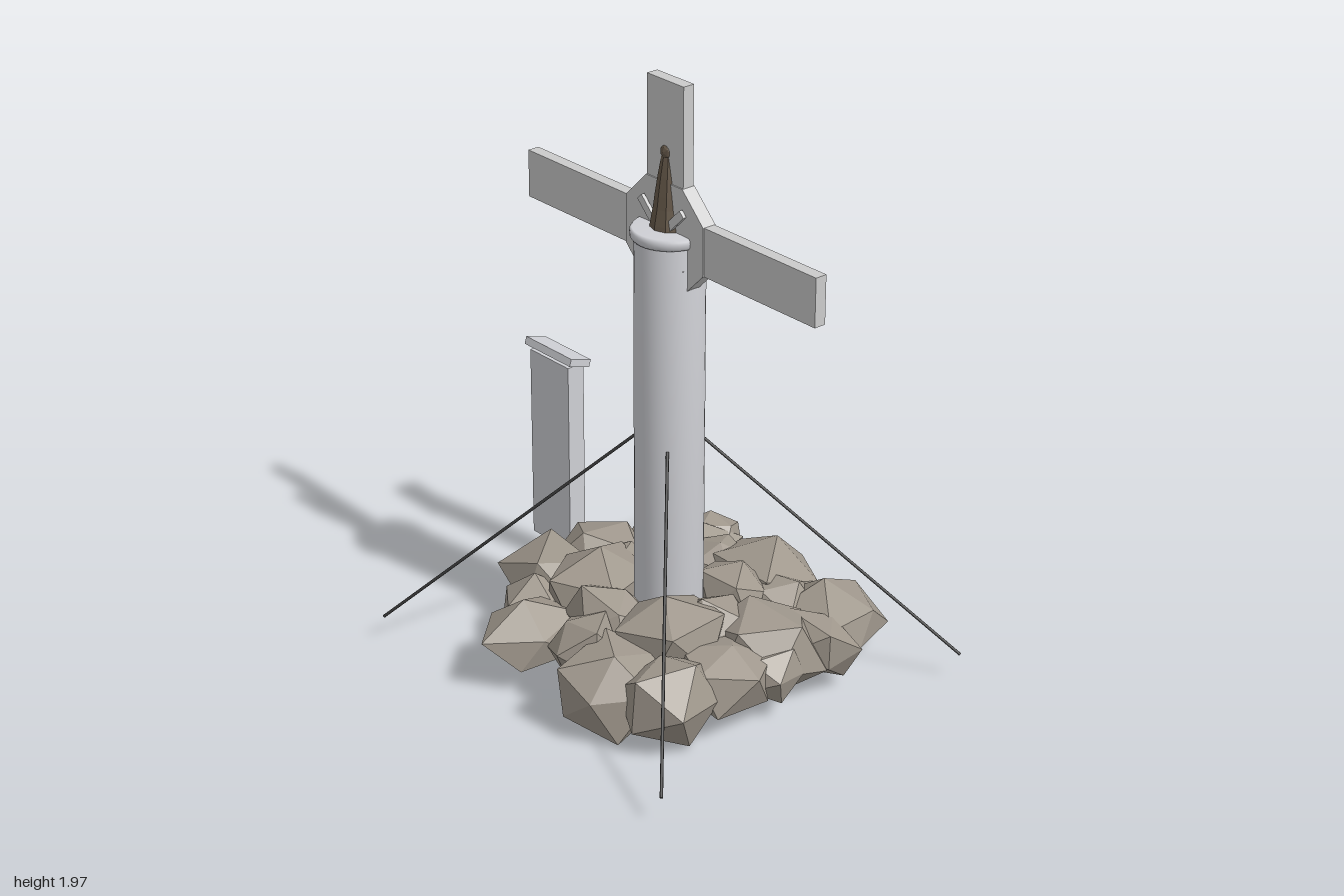
import * as THREE from 'three';

const mat = (color, flatShading = false) => new THREE.MeshStandardMaterial({ color, flatShading });
const pale = mat(0xcfd0d5), grey = mat(0xbdbdbd), dark = mat(0x383838);
const stone = mat(0xa0988d, true), bronze = mat(0x66594a, true), paving = mat(0x9a9c9e);
const CX = 0.088; // tower axis

function add(parent, name, geometry, material, x = 0, y = 0, z = 0) {
  const mesh = new THREE.Mesh(geometry, material);
  mesh.name = name;
  mesh.position.set(x, y, z);
  parent.add(mesh);
  return mesh;
}

function box(parent, name, material, [x0, x1], [y0, y1], [z0, z1]) {
  return add(parent, name, new THREE.BoxGeometry(x1 - x0, y1 - y0, z1 - z0), material,
    (x0 + x1) / 2, (y0 + y1) / 2, (z0 + z1) / 2);
}

function lathe(points, sides) {
  return new THREE.LatheGeometry(points.map(p => new THREE.Vector2(...p)), sides);
}

// Straight round bar between two points
function bar(parent, name, a, b, radius) {
  const from = new THREE.Vector3(...a), to = new THREE.Vector3(...b);
  const dir = to.clone().sub(from);
  const mesh = add(parent, name, new THREE.CylinderGeometry(radius, radius, dir.length(), 8), dark);
  mesh.position.copy(from).add(to).multiplyScalar(0.5);
  mesh.quaternion.setFromUnitVectors(new THREE.Vector3(0, 1, 0), dir.normalize());
}

// Jagged boulder: a jittered 20-sided solid, scaled to fill the given half sizes
function boulder(seed, rx, ry, rz) {
  const geo = new THREE.IcosahedronGeometry(1, 0);
  geo.rotateX(seed * 1.3).rotateY(seed * 2.1);
  const pos = geo.attributes.position, v = new THREE.Vector3();
  for (let i = 0; i < pos.count; i++) {
    v.fromBufferAttribute(pos, i);
    const key = Math.round(v.x * 50) * 12.99 + Math.round(v.y * 50) * 78.23 + Math.round(v.z * 50) * 37.72;
    const n = Math.abs(Math.sin(key + seed * 9.7) * 437.58) % 1;
    v.multiplyScalar(0.8 + 0.4 * n);
    pos.setXYZ(i, v.x, v.y, v.z);
  }
  geo.center();
  geo.computeBoundingBox();
  const { max } = geo.boundingBox;
  geo.scale(rx / max.x, ry / max.y, rz / max.z);
  geo.computeVertexNormals();
  return geo;
}

export function createModel() {
  const model = new THREE.Group();
  model.name = 'monument';

  // Rocky mound, higher towards the tower: x, z, half width, half depth
  const rocks = new THREE.Group();
  rocks.name = 'rocks';
  model.add(rocks);
  [
    [-0.27, -0.31, 0.21, 0.2], [-0.21, -0.45, 0.12, 0.11], [0.1, -0.4, 0.21, 0.17],
    [0.4, -0.41, 0.16, 0.18], [0.5, -0.25, 0.13, 0.13], [-0.35, -0.09, 0.15, 0.15],
    [-0.32, 0.12, 0.19, 0.15], [-0.12, 0.11, 0.16, 0.17], [-0.16, 0.39, 0.15, 0.19],
    [0.08, 0.34, 0.13, 0.13], [0.27, 0.38, 0.17, 0.16], [0.44, 0.29, 0.16, 0.17],
    [0.48, 0.09, 0.14, 0.16], [0.42, -0.1, 0.18, 0.17], [0.18, -0.19, 0.13, 0.12],
    [0.26, 0.15, 0.17, 0.16], [0.05, 0.19, 0.14, 0.13], [0.3, 0, 0.14, 0.13],
    [0.28, -0.3, 0.12, 0.13], [-0.05, -0.33, 0.12, 0.1], [-0.27, 0.25, 0.12, 0.12],
    [-0.2, -0.03, 0.09, 0.1], [-0.17, -0.2, 0.07, 0.08], [0.52, -0.05, 0.1, 0.12],
  ].forEach(([x, z, rx, rz], i) => {
    const y = THREE.MathUtils.mapLinear(THREE.MathUtils.clamp(Math.hypot(x - 0.06, z), 0.25, 0.42), 0.25, 0.42, 0.25, 0.175);
    const ry = Math.min(0.145, 0.85 * Math.min(rx, rz));
    add(rocks, 'rock' + (i + 1), boulder(i + 1, rx, ry, rz), stone, x, y, z);
  });

  // Paving under the rocks and the pale slab behind the tower
  add(model, 'floor', new THREE.CylinderGeometry(0.32, 0.32, 0.06, 8), paving, 0.06, 0.14, 0);
  box(model, 'slab', pale, [-0.145, 0.1], [0.14, 0.235], [-0.24, -0.07]);

  // Tower with a rounded rim
  add(model, 'tower', lathe([[0, 0.12], [0.11, 0.12], [0.11, 1.51], [0, 1.51]], 40), pale, CX);
  add(model, 'rim', lathe([[0.1, 1.498], [0.115, 1.499], [0.121, 1.507], [0.122, 1.518],
    [0.121, 1.528], [0.115, 1.535], [0, 1.537]], 40), pale, CX);

  // Spire with a ball finial
  add(model, 'spire', lathe([[0.062, 1.535], [0.06, 1.55], [0.051, 1.6], [0.046, 1.64],
    [0.037, 1.7], [0.029, 1.745], [0.024, 1.77], [0, 1.77]], 10), bronze, CX);
  add(model, 'finial', new THREE.IcosahedronGeometry(0.03, 1), bronze, CX, 1.775, 0);

  // Cross: horizontal and upright arms on a chamfered hub
  const cross = new THREE.Group();
  cross.name = 'cross';
  model.add(cross);
  for (const [x0, x1, name] of [[-0.565, -0.088, 'rightArm'], [0.264, 0.741, 'leftArm']])
    box(cross, name, grey, [x0, x1], [1.432, 1.588], [-0.02, 0.02]);
  box(cross, 'topArm', grey, [0.006, 0.17], [1.68, 2], [-0.02, 0.02]);
  const hub = new THREE.Shape([[-0.088, 1.432], [-0.016, 1.36], [0.192, 1.36], [0.264, 1.432],
    [0.264, 1.588], [0.17, 1.682], [0.006, 1.682], [-0.088, 1.588]].map(p => new THREE.Vector2(...p)));
  add(cross, 'hub', new THREE.ExtrudeGeometry(hub, { depth: 0.048, bevelEnabled: false }), grey, 0, 0, -0.024);

  // Crossed struts in front of the hub
  for (const s of [-1, 1]) {
    const strut = add(cross, 'strut', new THREE.BoxGeometry(0.27, 0.026, 0.012), grey, CX, 1.515, 0.033);
    strut.rotation.z = s * Math.PI / 4;
  }

  // Guy cables
  for (const sx of [-1, 1])
    for (const sz of [-1, 1])
      bar(model, 'cable', [CX + sx * 0.078, 0.83, sz * 0.075], [CX + sx * 0.686, 0.12, sz * 0.621], 0.005);

  // Free-standing pillar with a sloping cap
  box(model, 'pillar', pale, [-0.763, -0.565], [0.102, 0.785], [-0.192, -0.127]);
  const cap = box(model, 'pillarCap', pale, [-0.783, -0.547], [0.787, 0.813], [-0.207, -0.121]);
  cap.rotation.x = -0.3;

  return model;
}
